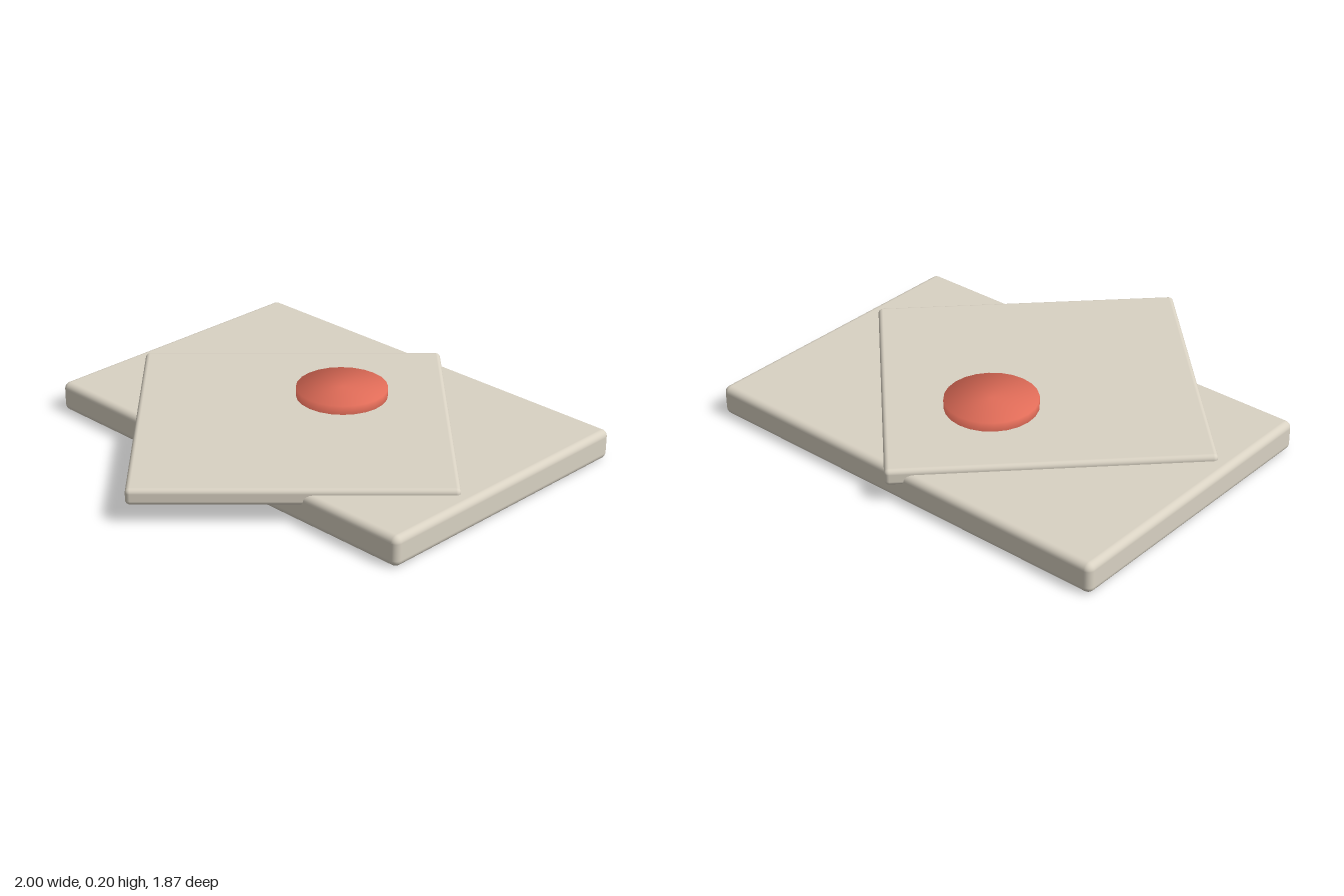
import * as THREE from 'three';
import { RoundedBoxGeometry } from 'three/addons/geometries/RoundedBoxGeometry.js';
import { mergeVertices } from 'three/addons/utils/BufferGeometryUtils.js';

const stone = new THREE.MeshStandardMaterial({ name: 'warm stone', color: 0xd9d2c3 });
const coral = new THREE.MeshStandardMaterial({ name: 'coral red', color: 0xe06c58 });

// A slab with rounded edges, standing on the given bottom height
function slab(name, width, height, depth, radius, bottom, z) {
  const mesh = new THREE.Mesh(new RoundedBoxGeometry(width, height, depth, 4, radius), stone);
  mesh.name = name;
  mesh.position.set(0, bottom + height / 2, z);
  return mesh;
}

export function createModel() {
  const group = new THREE.Group();
  group.name = 'stackedSlabs';

  // Wide base, set back from the centre
  group.add(slab('baseSlab', 2, 0.133, 1.333, 0.03, 0, -0.223));

  // Square plate turned corner-forward and sunk into the base
  const plate = slab('turnedPlate', 1.333, 0.072, 1.333, 0.02, 0.085, 0);
  plate.rotation.y = Math.PI / 4;
  group.add(plate);

  // Round button with smooth shading carried over its rim
  const raw = new THREE.CylinderGeometry(0.2, 0.2, 0.11, 24);
  raw.deleteAttribute('normal');
  raw.deleteAttribute('uv');
  const round = mergeVertices(raw, 1e-4);
  round.computeVertexNormals();
  const button = new THREE.Mesh(round, coral);
  button.name = 'roundButton';
  button.position.set(0, 0.142, -0.3);
  group.add(button);

  return group;
}
